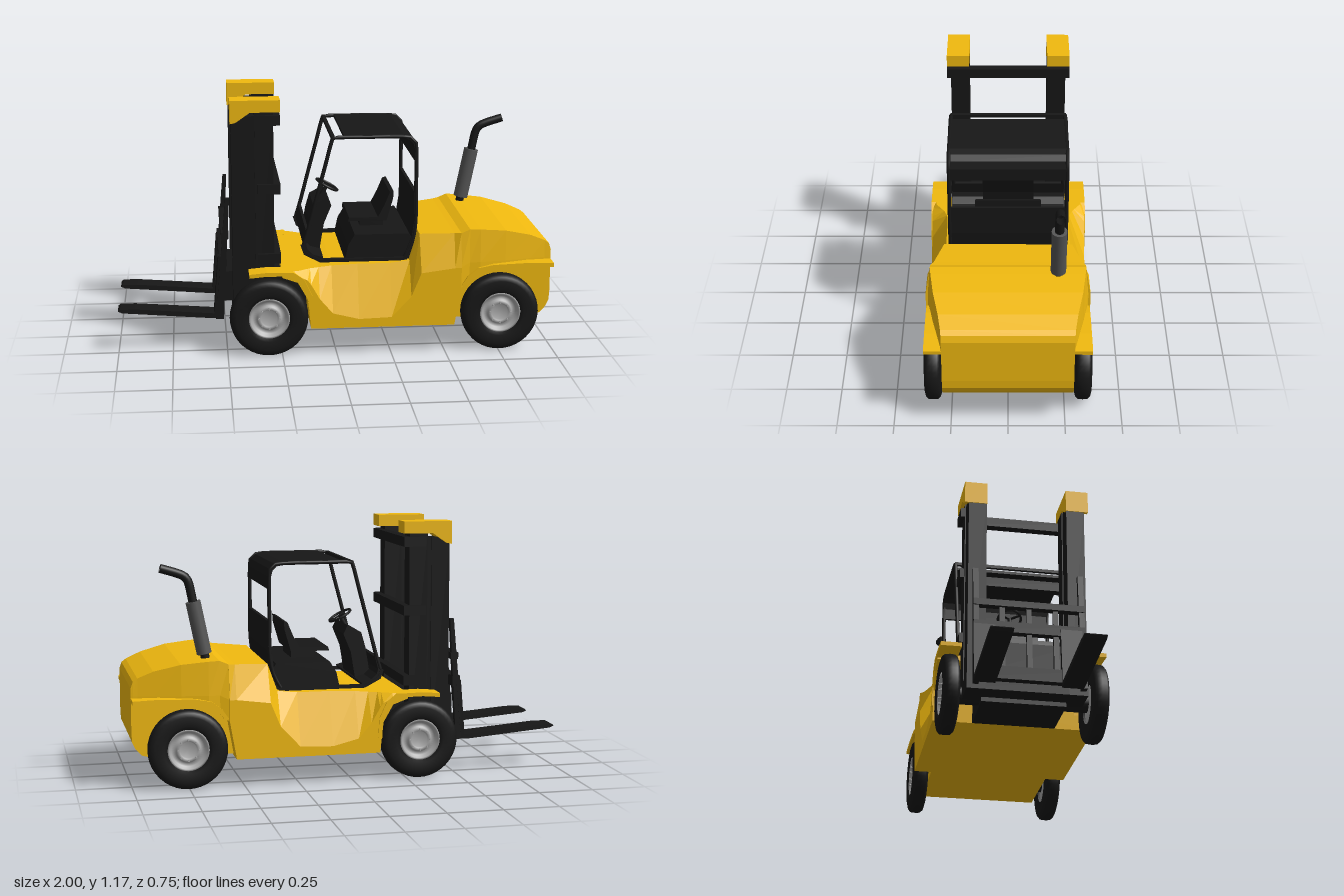
import * as THREE from 'three';

const mat = (color, flatShading = false) =>
  new THREE.MeshStandardMaterial({ color, flatShading, side: THREE.DoubleSide });

export function createModel() {
  const root = new THREE.Group();
  const yellow = mat(0xf0b90f, true), black = mat(0x171717, true), smoothBlack = mat(0x171717);
  const steel = mat(0x555555), rimGrey = mat(0xaaaaaa);

  const add = (name, geo, m, parent = root) => {
    const mesh = new THREE.Mesh(geo, m);
    mesh.name = name;
    parent.add(mesh);
    return mesh;
  };
  // box from its limits
  const box = (name, x0, x1, y0, y1, z0, z1, m = black) => {
    const b = add(name, new THREE.BoxGeometry(x1 - x0, y1 - y0, z1 - z0), m);
    b.position.set((x0 + x1) / 2, (y0 + y1) / 2, (z0 + z1) / 2);
    return b;
  };
  // side profile [x, y] extruded from z0 to z1
  const slab = (name, pts, z0, z1, m) => {
    const shape = new THREE.Shape(pts.map(p => new THREE.Vector2(p[0], p[1])));
    const g = new THREE.ExtrudeGeometry(shape, { depth: z1 - z0, bevelEnabled: false });
    return add(name, g.translate(0, 0, z0), m);
  };
  // bent sheet following a side polyline
  const sheet = (name, pts, t, z0, z1, m) => {
    const offset = pts.map((p, i) => {
      const a = pts[Math.max(i - 1, 0)], b = pts[Math.min(i + 1, pts.length - 1)];
      const dx = b[0] - a[0], dy = b[1] - a[1], l = Math.hypot(dx, dy);
      return [p[0] + dy / l * t, p[1] - dx / l * t];
    });
    return slab(name, [...pts, ...offset.reverse()], z0, z1, m);
  };
  const tube = (name, pts, r, m, tension = 0.5) => {
    const curve = new THREE.CatmullRomCurve3(pts.map(p => new THREE.Vector3(...p)), false, 'catmullrom', tension);
    return add(name, new THREE.TubeGeometry(curve, 40, r, 12), m);
  };
  // symmetric body; stations: [x, bottom y, crease y, lower z, top z, top y]
  const loft = (name, stations, m) => {
    const pos = [], idx = [], n = 6;
    for (const [x, yb, yk, zb, zt, yt] of stations)
      pos.push(x, yb, zb, x, yk, zb, x, yt, zt, x, yt, -zt, x, yk, -zb, x, yb, -zb);
    for (let i = 0; i < stations.length - 1; i++)
      for (let j = 0; j < n; j++) {
        const a = i * n + j, b = i * n + (j + 1) % n, c = b + n, d = a + n;
        idx.push(a, d, c, a, c, b);
      }
    const e = (stations.length - 1) * n;
    for (let j = 1; j < n - 1; j++) idx.push(0, j, j + 1, e, e + j + 1, e + j);
    const g = new THREE.BufferGeometry();
    g.setAttribute('position', new THREE.Float32BufferAttribute(pos, 3));
    g.setIndex(idx);
    g.computeVertexNormals();
    return add(name, g, m);
  };

  // main body with scooped sides, rising to the engine cover
  loft('mainBody', [
    [-0.25, 0.375, 0.39, 0.37, 0.36, 0.40],
    [-0.18, 0.35, 0.38, 0.37, 0.35, 0.40],
    [-0.135, 0.27, 0.36, 0.37, 0.32, 0.40],
    [-0.12, 0.13, 0.34, 0.37, 0.31, 0.40],
    [-0.08, 0.13, 0.27, 0.37, 0.295, 0.40],
    [-0.02, 0.13, 0.2, 0.37, 0.29, 0.405],
    [0.1, 0.13, 0.17, 0.37, 0.29, 0.41],
    [0.25, 0.13, 0.175, 0.37, 0.29, 0.41],
    [0.34, 0.13, 0.27, 0.37, 0.29, 0.42],
    [0.385, 0.13, 0.38, 0.37, 0.29, 0.545],
    [0.54, 0.13, 0.4, 0.37, 0.33, 0.555],
    [0.57, 0.3, 0.4, 0.37, 0.345, 0.558]], yellow);
  loft('rearHood', [
    [0.57, 0.3, 0.4, 0.36, 0.345, 0.558],
    [0.61, 0.35, 0.42, 0.35, 0.345, 0.575],
    [0.66, 0.39, 0.42, 0.35, 0.34, 0.572],
    [0.78, 0.4, 0.42, 0.33, 0.325, 0.56],
    [0.9, 0.4, 0.42, 0.305, 0.3, 0.53],
    [0.97, 0.4, 0.42, 0.29, 0.288, 0.5],
    [0.99, 0.4, 0.42, 0.287, 0.286, 0.485],
    [1.0, 0.4, 0.42, 0.285, 0.285, 0.455]], yellow);
  slab('counterweight', [[0.5, 0.14], [0.92, 0.14], [0.955, 0.15], [0.983, 0.18], [0.997, 0.21],
    [1, 0.25], [1, 0.42], [0.5, 0.42]], -0.285, 0.285, yellow);
  box('frontAxleHousing', -0.38, -0.12, 0.13, 0.37, -0.19, 0.19);

  // wheel with rim, outer face on +z
  const wheel = new THREE.Group();
  const v2 = (r, y) => new THREE.Vector2(r, y);
  const lathe = pts => new THREE.LatheGeometry(pts.map(p => v2(...p)), 40).rotateX(Math.PI / 2);
  add('tyre', lathe([[0.09, -0.03], [0.11, -0.037], [0.15, -0.037], [0.168, -0.032], [0.178, -0.022], [0.18, 0],
    [0.178, 0.022], [0.168, 0.032], [0.15, 0.037], [0.11, 0.037], [0.092, 0.03], [0.09, 0]]), smoothBlack, wheel);
  add('rim', lathe([[0, -0.02], [0.092, -0.02], [0.094, 0.032], [0.086, 0.032], [0.076, 0.012], [0.058, 0.01],
    [0.054, 0.025], [0.04, 0.028], [0.036, 0.016], [0, 0.016]]), rimGrey, wheel);
  for (let i = 0; i < 8; i++) {
    const a = i * Math.PI / 4;
    add('wheelNut', new THREE.CylinderGeometry(0.005, 0.005, 0.012, 6).rotateX(Math.PI / 2), rimGrey, wheel)
      .position.set(0.047 * Math.cos(a), 0.047 * Math.sin(a), 0.03);
  }
  for (const [name, x] of [['frontWheel', -0.31], ['rearWheel', 0.755]]) {
    for (const s of [1, -1]) {
      const w = wheel.clone();
      w.name = name;
      w.position.set(x, 0.18, s * 0.331);
      if (s < 0) w.rotation.y = Math.PI;
      root.add(w);
    }
    const axle = add(name + 'Axle', new THREE.CylinderGeometry(0.04, 0.04, 0.6, 16).rotateX(Math.PI / 2), smoothBlack);
    axle.position.set(x, 0.18, 0);
  }

  for (const s of [1, -1]) {
    const span = (a, b) => s > 0 ? [a, b] : [-b, -a];
    // fenders
    sheet('frontFender', [[-0.4, 0.395], [-0.32, 0.402], [-0.2, 0.4], [-0.15, 0.365], [-0.115, 0.29], [-0.11, 0.2]],
      0.018, ...span(0.28, 0.375), yellow);
    sheet('rearFender', [[0.572, 0.315], [0.6, 0.355], [0.65, 0.395], [0.72, 0.408], [0.88, 0.414], [1, 0.41]],
      0.018, ...span(0.27, 0.362), yellow);
    // mast column: outer and inner rails with a recess between
    box('outerRail', -0.365, -0.28, 0.15, 1.12, ...span(0.185, 0.27));
    box('innerRail', -0.47, -0.385, 0.15, 1.1, ...span(0.185, 0.268));
    box('railWeb', -0.39, -0.36, 0.15, 1.1, ...span(0.2, 0.262));
    slab('mastCap', [[-0.475, 1.07], [-0.45, 1.075], [-0.385, 1.12], [-0.25, 1.12], [-0.25, 1.175], [-0.475, 1.175]],
      ...span(0.183, 0.287), yellow);
    // guard frame
    const z = s * 0.262;
    tube('guardFrame', [[-0.145, 0.5, z], [-0.12, 0.585, z], [-0.085, 0.72, z], [-0.045, 0.87, z], [-0.012, 0.992, z],
      [0.01, 0.996, z], [0.15, 0.996, z], [0.32, 0.994, z], [0.36, 0.975, z], [0.37, 0.93, z], [0.37, 0.75, z],
      [0.37, 0.6, z], [0.355, 0.5, z], [0.32, 0.43, z]], 0.009, smoothBlack);
    sheet('guardSill', [[-0.145, 0.5], [-0.135, 0.465], [-0.07, 0.43], [0.33, 0.43]], 0.015, ...span(0.25, 0.272), black);
    // carriage post
    slab('carriagePost', [[-0.5, 0.72], [-0.482, 0.72], [-0.515, 0.15], [-0.55, 0.15]], ...span(0.225, 0.25), black);
  }

  // mast cross members
  for (const y of [1.06, 0.745, 0.42]) {
    box('mastCrossMember', -0.29, -0.25, y, y + 0.045, -0.285, 0.285);
    for (const z of [-0.288, 0.268]) box('mastBracket', -0.355, -0.25, y, y + 0.045, z, z + 0.02);
  }
  box('mastFoot', -0.47, -0.3, 0.15, 0.22, -0.27, 0.27);

  // carriage bars and forks
  for (const [x, y, h] of [[-0.505, 0.53, 0.03], [-0.515, 0.4, 0.05], [-0.53, 0.17, 0.06]])
    box('carriageBar', x - 0.018, x + 0.018, y, y + h, -0.25, 0.25);
  for (const z of [-0.12, 0, 0.12])
    slab('carriageSlat', [[-0.508, 0.54], [-0.495, 0.54], [-0.515, 0.18], [-0.535, 0.18]], z - 0.012, z + 0.012, black);
  box('carriagePlate', -0.51, -0.45, 0.22, 0.36, -0.19, 0.19);
  for (const z of [-0.203, 0.185])
    slab('fork', [[-1, 0.193], [-0.98, 0.184], [-0.58, 0.15], [-0.54, 0.15], [-0.515, 0.43], [-0.537, 0.43],
      [-0.558, 0.172], [-0.92, 0.201], [-0.99, 0.201]], z - 0.048, z + 0.048, black);

  // cab panels
  sheet('guardRoof', [[0.04, 1.003], [0.31, 1.003], [0.345, 0.993], [0.367, 0.97], [0.377, 0.935], [0.377, 0.88]],
    0.014, -0.268, 0.268, black);
  sheet('guardBackPanel', [[0.377, 0.735], [0.377, 0.6], [0.365, 0.52], [0.33, 0.43]], 0.014, -0.268, 0.268, black);
  sheet('frontCowl', [[-0.06, 0.425], [-0.11, 0.44], [-0.14, 0.47], [-0.148, 0.5], [-0.133, 0.56]],
    0.014, -0.268, 0.268, black);
  box('guardFrontBar', -0.018, -0.002, 0.985, 1.0, -0.265, 0.265);

  // seat and controls
  slab('seatBase', [[0.045, 0.42], [0.06, 0.49], [0.09, 0.54], [0.34, 0.54], [0.365, 0.5], [0.34, 0.42]], -0.26, 0.26, black);
  slab('seatPedestal', [[0.13, 0.53], [0.13, 0.58], [0.24, 0.58], [0.24, 0.53]], -0.1, 0.1, black);
  slab('seatCushion', [[0.07, 0.575], [0.075, 0.592], [0.21, 0.592], [0.24, 0.65], [0.265, 0.71], [0.282, 0.715],
    [0.28, 0.68], [0.25, 0.575]], -0.15, 0.15, black);
  slab('dashboard', [[-0.13, 0.46], [-0.11, 0.58], [-0.09, 0.65], [-0.025, 0.685], [-0.005, 0.645], [-0.04, 0.56],
    [-0.06, 0.44]], -0.12, 0.12, black);
  const steering = new THREE.Group();
  steering.name = 'steeringWheel';
  add('steeringRim', new THREE.TorusGeometry(0.055, 0.006, 8, 28).rotateX(Math.PI / 2), smoothBlack, steering);
  for (let i = 0; i < 3; i++)
    add('steeringSpoke', new THREE.BoxGeometry(0.055, 0.006, 0.01).translate(0.0275, 0, 0), black, steering)
      .rotation.y = i * Math.PI * 2 / 3;
  add('steeringColumn', new THREE.CylinderGeometry(0.01, 0.01, 0.1, 10).translate(0, -0.05, 0), smoothBlack, steering);
  steering.position.set(-0.015, 0.717, 0);
  steering.rotation.z = -0.5;
  root.add(steering);

  // exhaust
  const ez = -0.22;
  const muffler = add('muffler', new THREE.CylinderGeometry(0.034, 0.034, 0.24, 24), steel);
  muffler.position.set(0.685, 0.71, ez);
  muffler.rotation.z = -0.2;
  tube('exhaustPipe', [[0.652, 0.55, ez], [0.685, 0.71, ez], [0.712, 0.84, ez], [0.727, 0.91, ez], [0.745, 0.94, ez],
    [0.78, 0.957, ez], [0.855, 0.98, ez]], 0.02, smoothBlack);

  return root;
}
